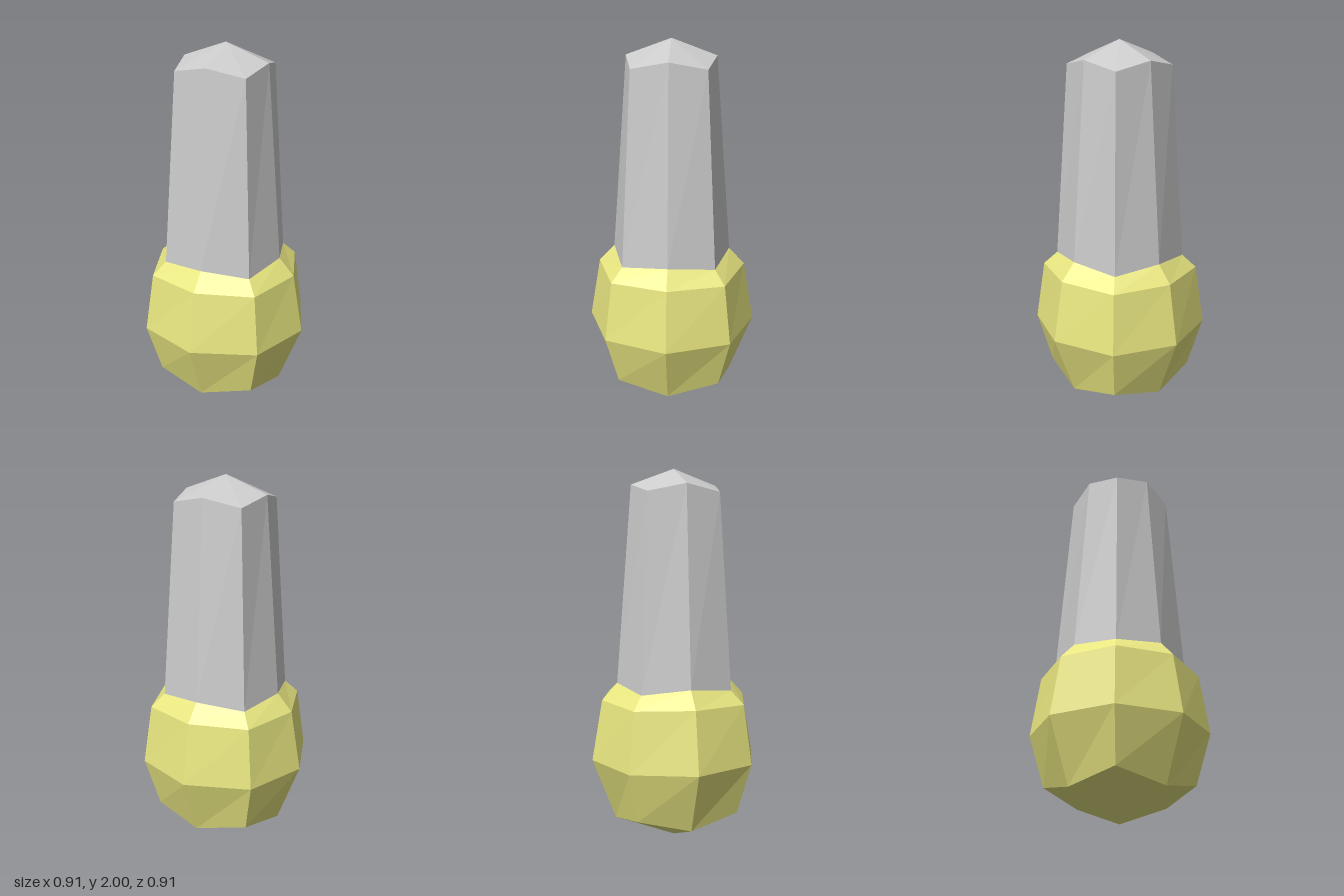
import * as THREE from 'three';

// Eight points: on the axes at [radius, y], on the diagonals at [x = z, y]
function ring(axisRadius, axisY, corner, cornerY) {
  const points = [];
  for (let i = 0; i < 8; i++) {
    const a = (i * Math.PI) / 4;
    const diagonal = i % 2 === 1;
    const r = diagonal ? corner * Math.SQRT2 : axisRadius;
    points.push([Math.sin(a) * r, diagonal ? cornerY : axisY, Math.cos(a) * r]);
  }
  return points;
}

const pole = (y) => ring(0, y, 0, y);

// Skin rings listed from bottom to top; a pole collapses to a triangle fan
function skin(rings) {
  const positions = [];
  const isPole = (r) => Math.hypot(r[0][0], r[0][2]) < 1e-6;
  for (let k = 0; k < rings.length - 1; k++) {
    const low = rings[k];
    const high = rings[k + 1];
    for (let i = 0; i < 8; i++) {
      const j = (i + 1) % 8;
      if (!isPole(low)) positions.push(...low[i], ...low[j], ...high[j]);
      if (!isPole(high)) positions.push(...low[i], ...high[j], ...high[i]);
    }
  }
  const geometry = new THREE.BufferGeometry();
  geometry.setAttribute('position', new THREE.Float32BufferAttribute(positions, 3));
  geometry.computeVertexNormals();
  return geometry;
}

function part(name, rings, color) {
  const material = new THREE.MeshStandardMaterial({ color, flatShading: true });
  material.side = THREE.DoubleSide;
  const mesh = new THREE.Mesh(skin(rings), material);
  mesh.name = name;
  return mesh;
}

export function createModel() {
  const group = new THREE.Group();
  group.name = 'bulbWithShaft';

  // Seam shared by both parts
  const seam = ring(0.315, 0.875, 0.243, 0.847);

  // Faceted yellow bulb
  group.add(part('bulb', [
    pole(0),
    ring(0.33, 0.13, 0.272, 0.187),
    ring(0.455, 0.46, 0.33, 0.46),
    ring(0.398, 0.785, 0.296, 0.778),
    seam,
  ], 0xe8e680));

  // Tapered grey shaft with a shallow pointed cap
  group.add(part('shaft', [
    seam,
    ring(0.232, 1.915, 0.191, 1.875),
    pole(2),
  ], 0xcccccc));

  return group;
}
